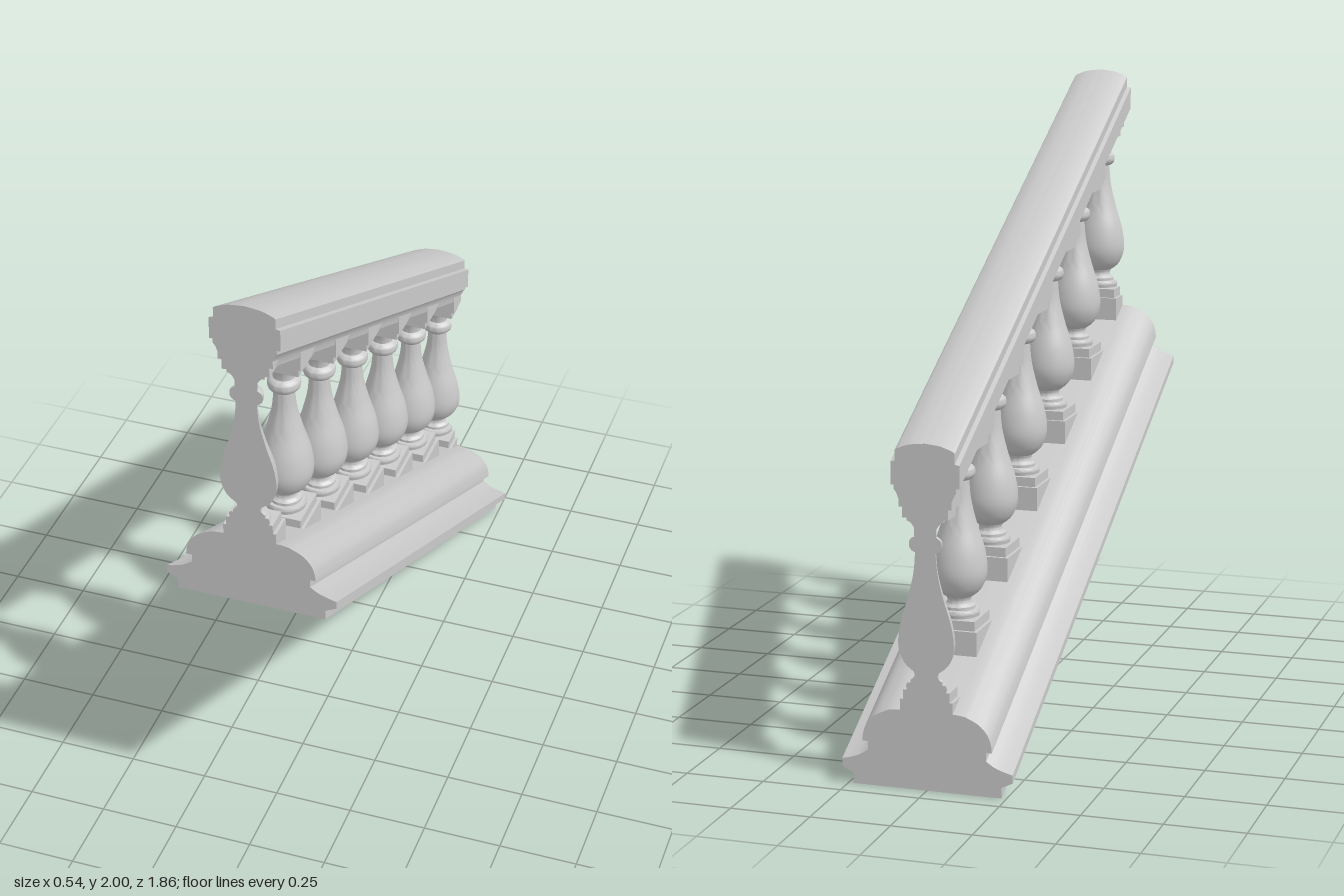
import * as THREE from 'three';
import { toCreasedNormals } from 'three/addons/utils/BufferGeometryUtils.js';

const HALF = 0.93;    // half the run of the stair
const SLOPE = 0.5;    // rise per unit of z
const SPACING = 0.31; // distance between balusters
const material = new THREE.MeshStandardMaterial({ color: 0xcccccc });

function part(name, geometry, crease = 0.5) {
  const mesh = new THREE.Mesh(toCreasedNormals(geometry, crease), material);
  mesh.name = name;
  return mesh;
}

// Right half outline (bottom to top) mirrored into a closed shape
function mirroredShape(points) {
  const right = points.map(([x, y]) => new THREE.Vector2(x, y));
  const left = points.filter(([x]) => x > 0).map(([x, y]) => new THREE.Vector2(-x, y)).reverse();
  return new THREE.Shape([...right, ...left]);
}

// Moulding extruded along z and sheared to the pitch, keeping its ends vertical
function slopedMoulding(name, points) {
  const geometry = new THREE.ExtrudeGeometry(mirroredShape(points), { depth: 2 * HALF, bevelEnabled: false });
  geometry.translate(0, 0, -HALF);
  geometry.applyMatrix4(new THREE.Matrix4().makeShear(0, 0, 0, 0, 0, SLOPE));
  return part(name, geometry);
}

// Smooth curve through a few points
function curve(points, divisions) {
  return new THREE.SplineCurve(points.map(([x, y]) => new THREE.Vector2(x, y)))
    .getPoints(divisions).map((p) => [p.x, p.y]);
}

const handrailProfile = [
  [0.08, 1.345], [0.083, 1.365], [0.09, 1.383], [0.097, 1.392], [0.097, 1.405], [0.107, 1.405],
  [0.107, 1.475], [0.093, 1.478], [0.093, 1.51], ...curve([[0.088, 1.515], [0.05, 1.529], [0, 1.535]], 8),
];

const plinthProfile = [
  [0.235, 0.47], [0.235, 0.503], [0.27, 0.52], [0.27, 0.545],
  ...curve([[0.25, 0.55], [0.215, 0.562], [0.187, 0.58]], 5),
  [0.187, 0.607], [0.205, 0.607],
  ...curve([[0.203, 0.627], [0.193, 0.658], [0.165, 0.69], [0.12, 0.712]], 10),
  [0.095, 0.715],
];

const balusterProfile = [
  [0.062, 0.775], ...curve([[0.062, 0.785], [0.064, 0.793], [0.06, 0.802]], 4),
  [0.05, 0.803], [0.05, 0.812], ...curve([[0.045, 0.814], [0.036, 0.826], [0.04, 0.84]], 5),
  ...curve([[0.044, 0.842], [0.07, 0.866], [0.087, 0.915], [0.08, 0.985], [0.056, 1.065],
    [0.038, 1.14], [0.032, 1.205]], 26),
  ...curve([[0.038, 1.207], [0.048, 1.216], [0.051, 1.23], [0.048, 1.243], [0.038, 1.251]], 8),
  [0.034, 1.253], [0.034, 1.278], ...curve([[0.038, 1.285], [0.047, 1.296], [0.058, 1.3]], 4),
  [0.058, 1.315],
];

// Square blocks: name, half width, bottom, top
const blocks = [
  ['baseBlock', 0.083, 0.64, 0.75],
  ['baseStep', 0.073, 0.75, 0.78],
  ['capStep', 0.072, 1.308, 1.34],
  ['capBlock', 0.083, 1.34, 1.42],
];

// A baluster; a half one keeps only local z <= 0 and gets a flat cut face
function baluster(half) {
  const group = new THREE.Group();
  const points = balusterProfile.map(([x, y]) => new THREE.Vector2(x, y));
  group.add(part('turnedBody', half
    ? new THREE.LatheGeometry(points, 18, Math.PI / 2, Math.PI)
    : new THREE.LatheGeometry(points, 36), 0.6));
  for (const [name, r, bottom, top] of blocks) {
    const geometry = new THREE.BoxGeometry(2 * r, top - bottom, half ? r : 2 * r);
    geometry.translate(0, (bottom + top) / 2, half ? -r / 2 : 0);
    group.add(part(name, geometry));
  }
  if (half) group.add(part('cutFace', new THREE.ShapeGeometry(mirroredShape(balusterProfile))));
  return group;
}

export function createModel() {
  const model = new THREE.Group();
  model.name = 'stairBalustrade';
  model.add(slopedMoulding('handrail', handrailProfile));
  model.add(slopedMoulding('plinth', plinthProfile));

  // Upright balusters stepping down the slope, halved at both ends
  for (let i = -3; i <= 3; i++) {
    const b = baluster(Math.abs(i) === 3);
    b.name = 'baluster' + (i + 4);
    b.position.set(0, i * SPACING * SLOPE, i * SPACING);
    if (i === -3) b.rotation.y = Math.PI;
    model.add(b);
  }
  model.position.y = -0.005;
  const root = new THREE.Group();
  root.name = 'balustrade';
  root.add(model);
  return root;
}
